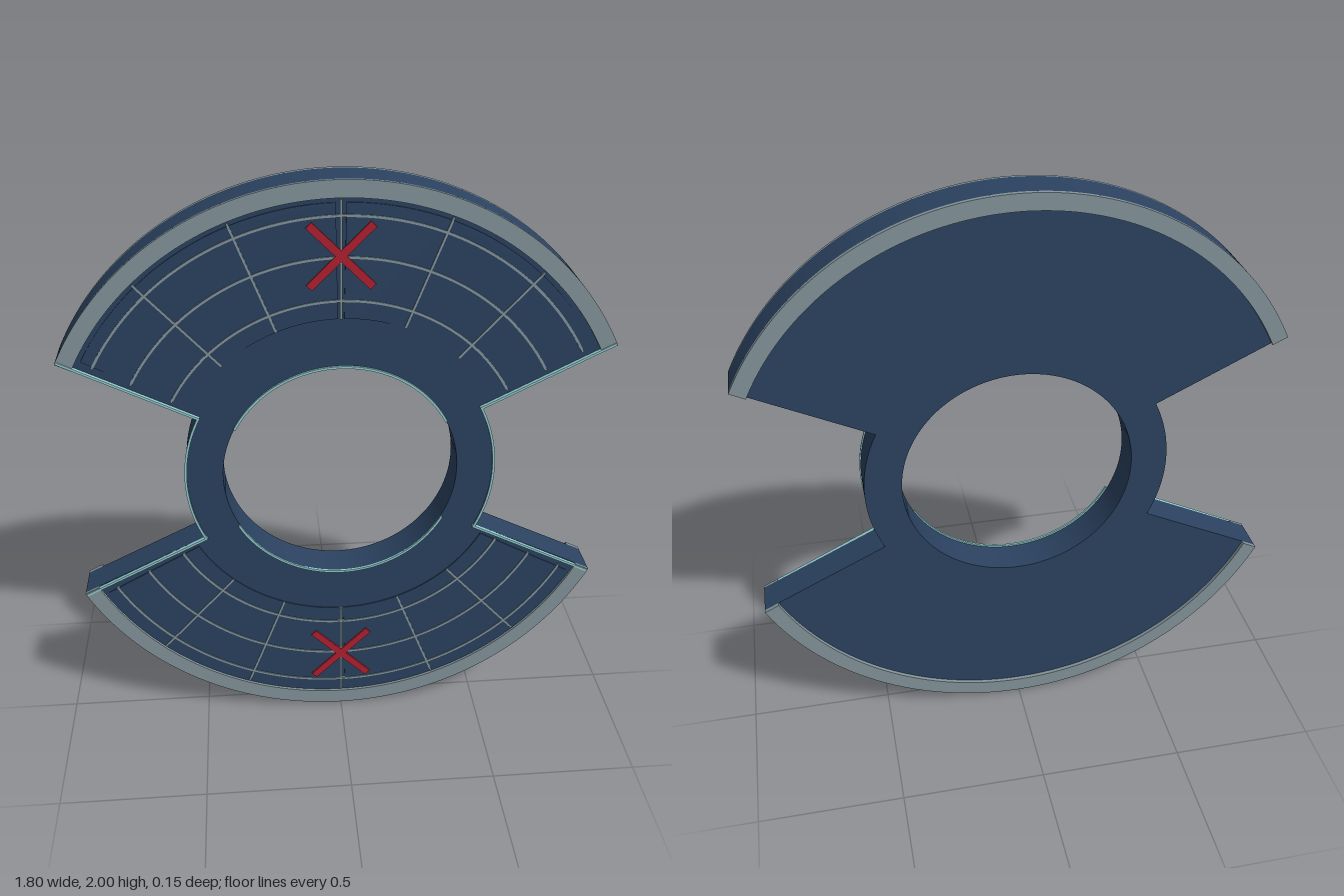
import * as THREE from 'three';
import { toCreasedNormals } from 'three/addons/utils/BufferGeometryUtils.js';

const mat = (color) => new THREE.MeshStandardMaterial({ color });
const rad = THREE.MathUtils.degToRad;
const EDGE = 26.1; // angle of the wing ends above the horizontal

export function createModel() {
  const model = new THREE.Group();
  const navy = mat(0x2b4260), grey = mat(0x83949a), cyan = mat(0x93cdd0), red = mat(0xb02030);

  function extrude(name, shape, z0, z1, material, parent, segments = 48) {
    const raw = new THREE.ExtrudeGeometry(shape, { depth: z1 - z0, bevelEnabled: false, curveSegments: segments });
    const mesh = new THREE.Mesh(toCreasedNormals(raw, 0.5), material);
    mesh.name = name;
    mesh.position.z = z0;
    parent.add(mesh);
    return mesh;
  }

  // Slab shaped like a piece of a ring, angles in degrees
  function sector(name, r0, r1, a0, a1, z0, z1, material, parent) {
    const s = new THREE.Shape();
    s.absarc(0, 0, r1, rad(a0), rad(a1), false);
    s.absarc(0, 0, r0, rad(a1), rad(a0), true);
    s.closePath();
    return extrude(name, s, z0, z1, material, parent);
  }

  function bar(name, length, width, depth, x, y, z, angle, material, parent) {
    const mesh = new THREE.Mesh(new THREE.BoxGeometry(length, width, depth), material);
    mesh.name = name;
    mesh.position.set(x, y, z);
    mesh.rotation.z = angle;
    parent.add(mesh);
  }

  // Body: two wide wings joined by a hub ring with a round opening
  const outline = new THREE.Shape();
  outline.absarc(0, 0, 1, rad(EDGE), rad(180 - EDGE), false);
  outline.absarc(0, 0, 0.52, rad(180 - EDGE), rad(180 + EDGE), false);
  outline.absarc(0, 0, 1, rad(180 + EDGE), rad(360 - EDGE), false);
  outline.absarc(0, 0, 0.52, rad(-EDGE), rad(EDGE), false);
  const opening = new THREE.Path();
  opening.absarc(0, 0, 0.395, 0, Math.PI * 2, true);
  outline.holes.push(opening);
  extrude('body', outline, -0.06, 0.06, navy, model, 64);

  // Each wing is the same, turned half way round
  for (const turn of [0, Math.PI]) {
    const wing = new THREE.Group();
    wing.name = turn ? 'lowerWing' : 'upperWing';
    wing.rotation.z = turn;
    model.add(wing);

    // Rims on the front and back faces
    sector('frontRim', 0.945, 1, EDGE, 180 - EDGE, 0.06, 0.07, grey, wing);
    sector('backRim', 0.945, 1, EDGE, 180 - EDGE, -0.074, -0.06, grey, wing);

    // Raised panels with a narrow slot between them
    sector('leftPanel', 0.56, 0.93, 28.5, 89, 0.06, 0.064, navy, wing);
    sector('rightPanel', 0.56, 0.93, 91, 151.5, 0.06, 0.064, navy, wing);

    // Grid of arcs and spokes
    for (const r of [0.62, 0.76, 0.89])
      sector('gridArc', r - 0.004, r + 0.004, 28, 152, 0.06, 0.067, grey, wing);
    for (let i = -2; i <= 2; i++) {
      const a = rad(90 + i * 21.3);
      bar('gridSpoke', 0.38, 0.007, 0.007, 0.75 * Math.cos(a), 0.75 * Math.sin(a), 0.0635, a, grey, wing);
    }

    // Red cross
    for (const a of [45, 135])
      bar('crossBar', 0.28, 0.025, 0.01, 0, 0.765, 0.066, rad(a), red, wing);

    // Light strips at the wing ends and round the opening
    for (const a of [rad(EDGE + 0.4), rad(180 - EDGE - 0.4)]) {
      bar('endStrip', 0.48, 0.008, 0.014, 0.755 * Math.cos(a), 0.755 * Math.sin(a), 0.067, a, cyan, wing);
    }
    sector('openingStrip', 0.392, 0.4, 28, 152, 0.064, 0.072, cyan, wing);
    // Light strip along the exposed side of the hub
    sector('hubStrip', 0.515, 0.523, -EDGE, EDGE, 0.067, 0.074, cyan, wing);
  }

  model.position.y = 1;
  const root = new THREE.Group();
  root.name = 'model';
  root.add(model);
  return root;
}
